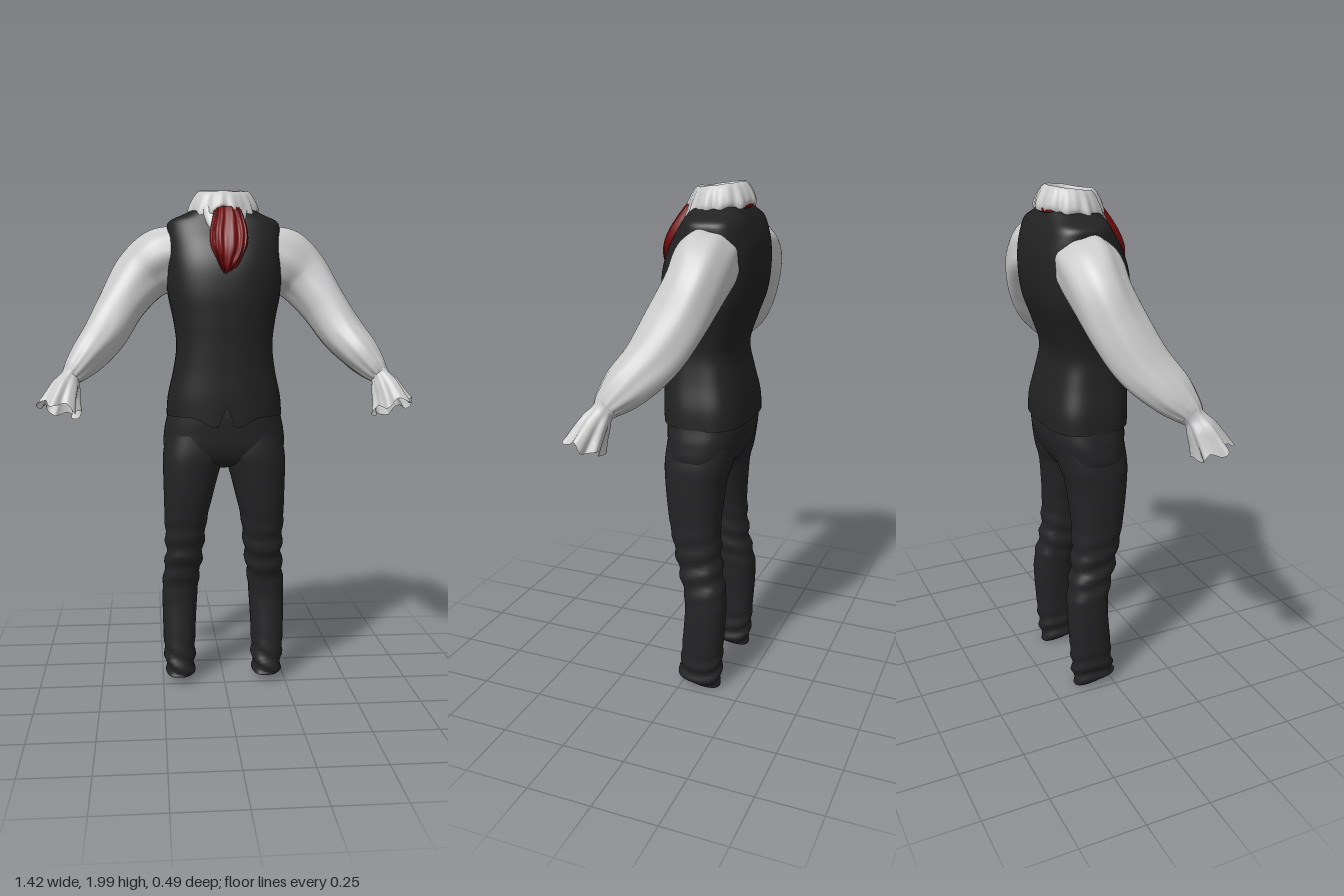
import * as THREE from 'three';

const { sin, cos, abs, sign, pow, PI } = Math;

function material(name, color) {
  const m = new THREE.MeshStandardMaterial({ color, side: THREE.DoubleSide });
  m.name = name;
  return m;
}

// Smooth (Catmull-Rom) resampling of keyframe rows into count + 1 rows.
function resample(keys, count) {
  const rows = [];
  for (let j = 0; j <= count; j++) {
    const f = (j / count) * (keys.length - 1);
    const i = Math.min(Math.floor(f), keys.length - 2);
    const t = f - i;
    const at = (k) => keys[Math.max(0, Math.min(keys.length - 1, k))];
    rows.push(keys[i].map((b, c) => {
      const a = at(i - 1)[c], d = at(i + 1)[c], e = at(i + 2)[c];
      return b + 0.5 * t * (d - a + t * (2 * a - 5 * b + 4 * d - e + t * (3 * (b - d) + e - a)));
    }));
  }
  return rows;
}

// Skin over rings of points; each ring wraps round without a seam.
function skin(rings) {
  const n = rings[0].length, index = [];
  for (let j = 0; j < rings.length - 1; j++) {
    for (let i = 0; i < n; i++) {
      const a = j * n + i, b = j * n + (i + 1) % n;
      index.push(a, a + n, b, b, a + n, b + n);
    }
  }
  const g = new THREE.BufferGeometry();
  g.setAttribute('position', new THREE.Float32BufferAttribute(rings.flat().flatMap((p) => p.toArray()), 3));
  g.setIndex(index);
  g.computeVertexNormals();
  return g;
}

// Upright loft; keys are [y, xMin, xMax, zFront, zBack], bottom to top.
function upright(keys, { rows = 40, seg = 56, front = 2.4, back = 2.4, tweak } = {}) {
  return skin(resample(keys, rows).map(([y, x0, x1, zf, zb], j) => {
    const ring = [];
    for (let i = 0; i < seg; i++) {
      const a = (i / seg) * 2 * PI, c = cos(a), s = sin(a);
      const e = 2 / (s > 0 ? front : back);
      const p = new THREE.Vector3(
        (x0 + x1) / 2 + (x1 - x0) / 2 * sign(c) * pow(abs(c), e), y,
        (zf + zb) / 2 + (zf - zb) / 2 * sign(s) * pow(abs(s), e));
      if (tweak) tweak(p, a, j / rows);
      ring.push(p);
    }
    return ring;
  }));
}

// Loft along a bent path; keys are [x, y, z, radius, depthRadius].
function bent(keys, side, fold, rows = 44, seg = 56) {
  const list = resample(keys.map(([x, ...rest]) => [x * side, ...rest]), rows);
  const point = (k) => new THREE.Vector3(...list[Math.max(0, Math.min(rows, k))].slice(0, 3));
  return skin(list.map(([, , , r, d], j) => {
    const t = point(j + 1).sub(point(j - 1)).normalize();
    const u = new THREE.Vector3().crossVectors(t, new THREE.Vector3(0, 0, 1)).normalize();
    const v = new THREE.Vector3().crossVectors(u, t);
    const ring = [];
    for (let i = 0; i < seg; i++) {
      const a = (i / seg) * 2 * PI, f = fold(a, j / rows);
      const p = point(j).addScaledVector(u, cos(a) * r * f.scale).addScaledVector(v, sin(a) * d * f.scale);
      ring.push(p.addScaledVector(t, f.along || 0));
    }
    return ring;
  }));
}

const mirror = (rows) => rows.map(([y, w, zf, zb]) => [y, -w, w, zf, zb]);

export function createModel() {
  const model = new THREE.Group();
  const vestCloth = material('vest black', 0x222223);
  const trouserCloth = material('trouser black', 0x242426);
  const linen = material('linen white', 0xcacaca);
  const silk = material('silk red', 0x740b0d);
  const add = (name, geometry, mat) => {
    const m = new THREE.Mesh(geometry, mat);
    m.name = name;
    model.add(m);
    return m;
  };

  // Vest with two points and a small notch at the front hem
  add('vest', upright(mirror([
    [1.125, 0.228, 0.112, -0.216], [1.2, 0.222, 0.115, -0.212], [1.3, 0.2, 0.115, -0.19],
    [1.4, 0.188, 0.118, -0.172], [1.5, 0.2, 0.123, -0.2], [1.6, 0.22, 0.126, -0.234],
    [1.7, 0.224, 0.116, -0.246], [1.78, 0.222, 0.088, -0.242], [1.84, 0.222, 0.052, -0.225],
    [1.875, 0.212, 0.03, -0.21], [1.9, 0.16, 0.018, -0.195], [1.925, 0.105, 0.01, -0.18],
  ]), {
    rows: 56, seg: 72, front: 2.5, back: 3.2,
    tweak: (p, a, t) => {
      const hem = Math.max(0, 1 - t / 0.1);
      if (p.z > 0) {
        p.y -= hem * 0.04 * Math.exp(-pow((abs(p.x) - 0.045) / 0.05, 2));
        p.y += hem * 0.06 * Math.exp(-pow(p.x / 0.015, 2));
      }
    },
  }), vestCloth);

  // Trouser seat
  add('trouserSeat', upright(mirror([
    [0.915, 0.06, 0.0, -0.08], [0.94, 0.18, 0.06, -0.14], [0.99, 0.237, 0.086, -0.18],
    [1.06, 0.238, 0.094, -0.205], [1.12, 0.226, 0.098, -0.21], [1.18, 0.214, 0.095, -0.2],
  ]), { front: 2.6, back: 2.6 }), trouserCloth);

  for (const side of [1, -1]) {
    const label = side > 0 ? 'left' : 'right';

    // Trouser leg with creases at knee and ankle and a hem lifted in front
    add(label + 'TrouserLeg', upright([
      [0.025, 0.128, 0.226, 0.02, -0.15], [0.08, 0.12, 0.238, 0.012, -0.157],
      [0.2, 0.117, 0.247, 0.0, -0.166], [0.4, 0.105, 0.25, -0.012, -0.175],
      [0.55, 0.087, 0.236, 0.024, -0.15], [0.7, 0.069, 0.24, 0.054, -0.14],
      [0.8, 0.046, 0.242, 0.07, -0.145], [0.9, 0.02, 0.244, 0.081, -0.155],
      [0.97, -0.005, 0.243, 0.086, -0.175], [1.05, -0.01, 0.228, 0.08, -0.19],
    ].map(([y, i, o, f, b]) => (side > 0 ? [y, i, o, f, b] : [y, -o, -i, f, b])), {
      rows: 72,
      tweak: (p, a, t) => {
        const knee = Math.exp(-pow((p.y - 0.55) / 0.12, 2));
        const ankle = Math.exp(-pow((p.y - 0.08) / 0.09, 2));
        const inward = a * side;
        const fold = 0.006 * knee * sin(p.y * 75 + 2 * sin(inward))
          + 0.006 * ankle * sin(p.y * 90 + 3 * cos(inward));
        p.x += cos(a) * fold;
        p.z += sin(a) * fold;
        p.y += Math.max(0, 1 - t / 0.08) * (p.z + 0.12) * 0.2;
      },
    }), trouserCloth);

    // Full sleeve, gathered at armhole and wrist
    add(label + 'Sleeve', bent([
      [0.16, 1.755, -0.1, 0.105, 0.11], [0.24, 1.725, -0.105, 0.125, 0.115],
      [0.32, 1.665, -0.103, 0.112, 0.108], [0.395, 1.56, -0.065, 0.092, 0.108],
      [0.46, 1.45, -0.01, 0.084, 0.1], [0.525, 1.365, 0.06, 0.07, 0.085],
      [0.565, 1.315, 0.1, 0.052, 0.06], [0.588, 1.287, 0.118, 0.036, 0.04],
    ], side, (a, t) => ({
      scale: 1 + 0.02 * sin(5 * a + 7 * t) + 0.018 * sin(3 * a - 11 * t)
        + 0.05 * pow(t, 4) * sin(11 * a) + 0.02 * pow(1 - t, 2) * sin(9 * a),
    }), 60, 72), linen);

    // Flared, pleated cuff
    add(label + 'Cuff', bent([
      [0.578, 1.3, 0.108, 0.045, 0.048], [0.59, 1.283, 0.12, 0.037, 0.04],
      [0.604, 1.25, 0.138, 0.052, 0.05], [0.617, 1.21, 0.156, 0.062, 0.058],
      [0.628, 1.17, 0.172, 0.075, 0.066],
    ], side, (a, t) => ({
      scale: 1 + 0.13 * t * sin(6 * a + 0.8) + 0.05 * t * sin(11 * a),
      along: 0.014 * t * t * sin(5 * a + 2),
    }), 24, 72), linen);
  }

  // Shirt front showing beside the cravat
  add('shirtFront', upright(mirror([
    [1.77, 0.025, 0.104, 0.03], [1.82, 0.055, 0.078, 0.0],
    [1.87, 0.078, 0.05, -0.03], [1.925, 0.09, 0.018, -0.06],
  ]), { rows: 16, front: 3 }), linen);

  // Ruffled collar: stands up, then rolls outward
  const collar = resample([
    [0.092, 1.89], [0.084, 1.935], [0.08, 1.975], [0.088, 1.993], [0.103, 1.985],
    [0.122, 1.955], [0.133, 1.925], [0.13, 1.908],
  ], 28).map(([r, y], j) => {
    const ring = [], t = Math.max(0, (j / 28 - 0.4) / 0.6);
    for (let i = 0; i < 96; i++) {
      const a = (i / 96) * 2 * PI, off = abs(a - PI / 2);
      const ruffle = r + t * (0.006 * sin(11 * a) + 0.004 * sin(19 * a + 1));
      const z = sin(a) * ruffle;
      const points = 0.02 * Math.exp(-pow((off - 0.75) / 0.3, 2)) - 0.03 * Math.exp(-pow(off / 0.3, 2));
      ring.push(new THREE.Vector3(cos(a) * ruffle,
        y - z * 0.12 - t * points + t * 0.006 * sin(8 * a), z * 0.92 - 0.083));
    }
    return ring;
  });
  add('collar', skin(collar), linen);

  // Neck band under the collar
  const band = add('neckBand', new THREE.TorusGeometry(0.105, 0.014, 10, 56), silk);
  band.rotation.x = PI / 2 + 0.12;
  band.position.set(0, 1.914, -0.083);

  // Pleated cravat
  add('cravat', upright([
    [1.672, -0.008, 0.016, 0.12, 0.1], [1.7, -0.03, 0.036, 0.13, 0.09],
    [1.76, -0.056, 0.074, 0.128, 0.06], [1.82, -0.062, 0.082, 0.106, 0.03],
    [1.88, -0.05, 0.07, 0.07, 0.0], [1.92, -0.04, 0.055, 0.038, -0.01],
    [1.93, -0.02, 0.03, 0.02, 0.0],
  ], {
    rows: 36, seg: 96, front: 2.8,
    tweak: (p, a, t) => {
      if (sin(a) > 0) p.z += 0.006 * sin(a) * sin(13 * a + 3 * t);
      p.y += 0.008 * (1 - t) * sin(p.x * 110);
    },
  }), silk);

  return model;
}
